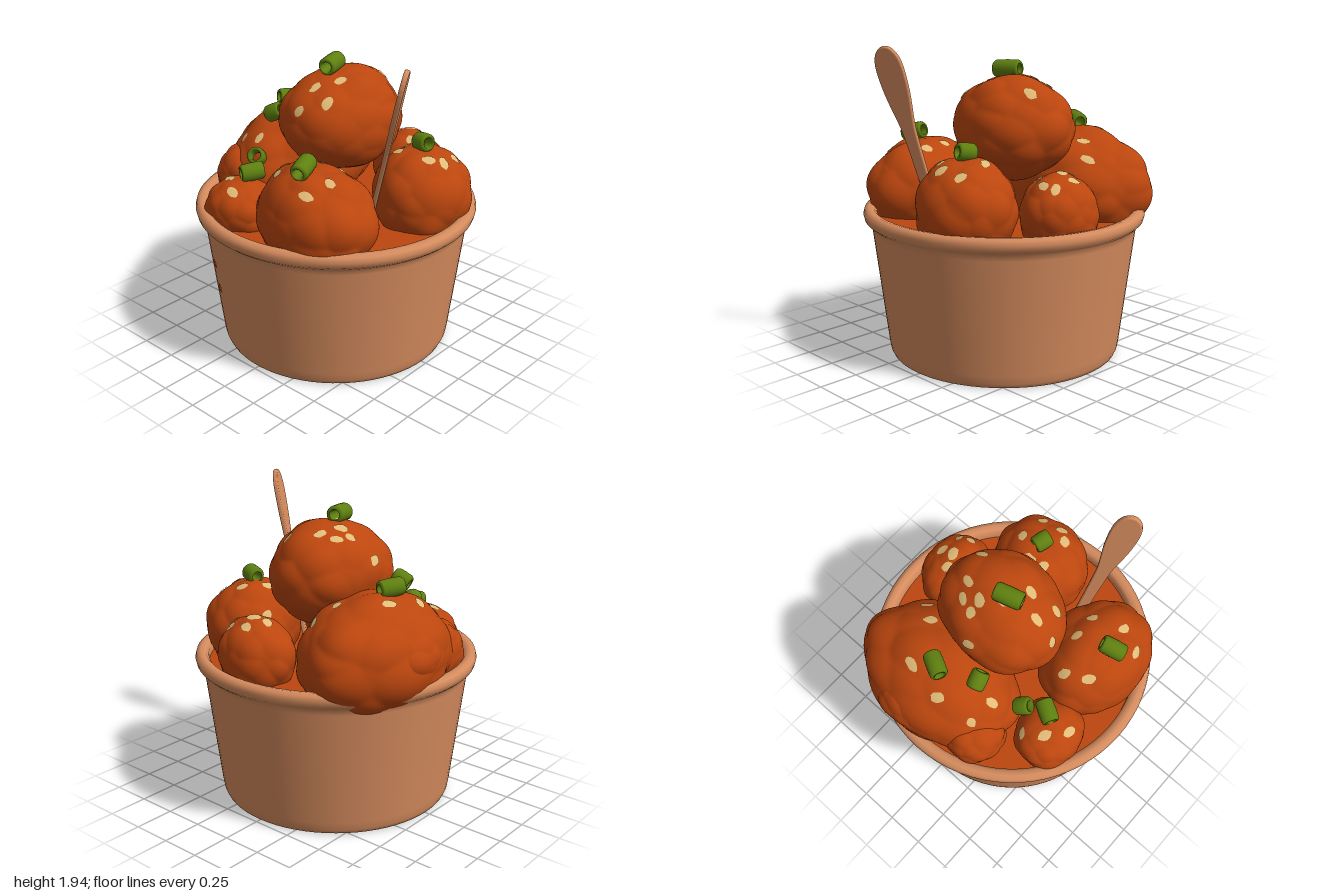
import * as THREE from 'three';
import { mergeVertices, mergeGeometries } from 'three/addons/utils/BufferGeometryUtils.js';

const paint = (name, color, side = THREE.FrontSide) => {
  const m = new THREE.MeshStandardMaterial({ color, side });
  m.name = name;
  return m;
};
const V = (x, y, z) => new THREE.Vector3(x, y, z);

function seeded(seed) {
  let s = seed * 7919 + 17;
  return () => (s = (s * 16807) % 2147483647) / 2147483647;
}

// Knobbly radius for a unit direction: bumps scattered evenly over a sphere
function knobbly(seed, count = 46) {
  const rnd = seeded(seed);
  for (let i = 0; i < 5; i++) rnd();
  const bumps = [];
  for (let i = 0; i < count; i++) {
    const y = 1 - 2 * (i + 0.5) / count, a = i * 2.39996 + seed, h = Math.sqrt(1 - y * y);
    const d = V(h * Math.cos(a) + (rnd() - 0.5) * 0.3, y + (rnd() - 0.5) * 0.3, h * Math.sin(a) + (rnd() - 0.5) * 0.3);
    bumps.push({ d: d.normalize(), h: 0.04 + rnd() * 0.09, w: 0.07 + rnd() * 0.08 });
  }
  return (dir) => {
    let best = 0;
    for (const b of bumps) best = Math.max(best, b.h * Math.exp(-(1 - dir.dot(b.d)) / b.w));
    return 0.92 + best;
  };
}

// One coated piece: a sphere pushed out by the knobbly rule
function makePiece(center, radii, seed) {
  const rule = knobbly(seed);
  const surface = (dir, lift = 0) => {
    const d = dir.clone().normalize();
    return d.clone().multiplyScalar(rule(d)).multiply(radii).add(center).addScaledVector(d, lift);
  };
  let geo = new THREE.IcosahedronGeometry(1, 22);
  geo.deleteAttribute('normal');
  geo.deleteAttribute('uv');
  geo = mergeVertices(geo, 1e-5);
  const pos = geo.attributes.position, v = V(0, 0, 0);
  for (let i = 0; i < pos.count; i++) {
    const p = surface(v.fromBufferAttribute(pos, i));
    pos.setXYZ(i, p.x, p.y, p.z);
  }
  geo.computeVertexNormals();

  // Direction of the upper surface point above a given x, z
  const above = (x, z) => {
    const at = (y) => V(x, y, z).sub(center).divide(radii);
    let lo = center.y, hi = center.y + 2 * radii.y;
    for (let i = 0; i < 24; i++) {
      const mid = (lo + hi) / 2, q = at(mid), len = q.length();
      if (len < rule(q.normalize())) lo = mid; else hi = mid;
    }
    return at(lo).normalize();
  };
  return { geo, surface, above, size: (radii.x + radii.y + radii.z) / 3 };
}

// Sesame seed: a small irregular patch draped on a piece
function seedPatch(piece, x, z, rnd) {
  const dir = piece.above(x, z);
  const t1 = V(0, 0, 1).cross(dir).normalize(), t2 = dir.clone().cross(t1);
  const turn = rnd() * 3, n = 12, r = (0.031 + rnd() * 0.007) / piece.size;
  const pts = [piece.surface(dir, 0.007)], index = [];
  for (let i = 0; i < n; i++) {
    const a = i / n * Math.PI * 2, k = r * (0.9 + rnd() * 0.2);
    const u = Math.cos(a) * k * 1.2, w = Math.sin(a) * k * 0.85;
    const p = dir.clone().addScaledVector(t1, u * Math.cos(turn) - w * Math.sin(turn))
      .addScaledVector(t2, u * Math.sin(turn) + w * Math.cos(turn));
    pts.push(piece.surface(p, 0.005));
    index.push(0, i + 1, (i + 1) % n + 1);
  }
  const geo = new THREE.BufferGeometry().setFromPoints(pts);
  geo.setIndex(index);
  geo.computeVertexNormals();
  return geo;
}

export function createModel() {
  const model = new THREE.Group();
  const card = paint('kraftBrown', 0xd68c5e);
  const sauce = paint('chilliSauce', 0xbc460e);
  const green = paint('scallionGreen', 0x5f8010);
  const sesame = paint('sesameCream', 0xe0bb78, THREE.DoubleSide);
  const add = (name, geo, mat, parent = model) => {
    const mesh = new THREE.Mesh(geo, mat);
    mesh.name = name;
    parent.add(mesh);
    return mesh;
  };
  const lathe = (pts, seg) => new THREE.LatheGeometry(pts.map(([x, y]) => new THREE.Vector2(x, y)), seg);

  // Tapered cup with a rolled rim and hollow inside
  add('cup', lathe([[0, 0.005], [0.7, 0.005], [0.705, 0], [0.72, 0.004], [0.732, 0.03], [0.74, 0.08], [0.826, 0.8],
    [0.832, 0.835], [0.85, 0.848], [0.872, 0.868], [0.88, 0.9], [0.872, 0.93], [0.845, 0.941], [0.815, 0.936],
    [0.797, 0.915], [0.795, 0.88], [0.78, 0.78]], 72), card);

  // Sauce filling
  const fill = new THREE.CircleGeometry(0.797, 64);
  fill.rotateX(-Math.PI / 2);
  add('sauceFilling', fill, sauce).position.y = 0.87;

  // Coated pieces: centre, radii and sesame positions as x, z pairs
  const pieces = [
    { name: 'topPiece', c: [-0.01, 1.43, -0.06], r: [0.35, 0.32, 0.41],
      s: [-0.09, -0.25, 0.1, -0.32, -0.21, -0.12, -0.14, -0.12, -0.06, -0.02, 0.09, 0.06, 0.13, 0.22, 0, 0.18,
        -0.01, 0.31, -0.18, -0.21, -0.33, -0.04] },
    { name: 'rightPiece', c: [-0.46, 1.03, -0.18], r: [0.4, 0.365, 0.54],
      s: [-0.24, -0.48, -0.32, -0.37, -0.6, -0.25, -0.64, -0.01, -0.6, 0.21, -0.44, 0.23] },
    { name: 'rightSideLump', c: [-0.69, 1.06, -0.2], r: [0.18, 0.18, 0.24], s: [] },
    { name: 'rightFrontLump', c: [-0.58, 0.98, 0.2], r: [0.2, 0.2, 0.2], s: [] },
    { name: 'backPiece', c: [0.12, 0.99, -0.58], r: [0.25, 0.24, 0.22],
      s: [0.04, -0.57, 0.11, -0.68, 0.12, -0.6, 0.25, -0.67, 0.28, -0.6, 0.2, -0.5] },
    { name: 'leftPiece', c: [0.51, 1.02, -0.21], r: [0.29, 0.305, 0.32],
      s: [0.28, -0.33, 0.48, -0.34, 0.39, -0.2, 0.68, -0.19, 0.62, -0.12, 0.66, -0.33, 0.4, -0.11] },
    { name: 'frontPiece', c: [0.26, 1.01, 0.46], r: [0.39, 0.32, 0.32],
      s: [0.2, 0.34, 0.35, 0.33, -0.02, 0.43, 0.05, 0.56, 0.42, 0.52, 0.37, 0.66] },
    { name: 'smallFrontPiece', c: [-0.28, 0.94, 0.55], r: [0.225, 0.195, 0.21],
      s: [-0.35, 0.57, -0.23, 0.66, -0.42, 0.45] },
  ];
  pieces.forEach((p, k) => {
    const group = new THREE.Group();
    group.name = p.name;
    model.add(group);
    const piece = makePiece(V(...p.c), V(...p.r), k + 3), rnd = seeded(k + 40);
    add(p.name + 'Coating', piece.geo, sauce, group);
    const patches = [];
    for (let i = 0; i < p.s.length; i += 2) patches.push(seedPatch(piece, p.s[i], p.s[i + 1], rnd));
    if (patches.length) add(p.name + 'SesameSeeds', mergeGeometries(patches), sesame, group);
  });

  // Scallion rings: position, axis, length
  const rings = [
    [[-0.03, 1.78, 0], [0.3, -0.05, 1], 0.17], [[-0.52, 1.43, -0.13], [-0.5, 0.1, 1], 0.15],
    [[-0.42, 1.41, 0.11], [1, 0.5, -0.25], 0.11], [[-0.32, 1.21, 0.37], [0.5, 0.6, 0.8], 0.1],
    [[-0.24, 1.17, 0.49], [-0.55, -0.1, 1], 0.14], [[0.26, 1.36, 0.56], [0.3, -0.25, 1], 0.15],
    [[0.51, 1.355, -0.21], [1, 0.15, 0.3], 0.11],
  ];
  for (const [at, axis, len] of rings) {
    const h = len / 2;
    const ring = add('scallionRing', lathe([[0.032, -h], [0.046, -h], [0.054, -h + 0.012], [0.056, 0], [0.054, h - 0.012],
      [0.046, h], [0.032, h], [0.028, 0], [0.032, -h]], 20), green);
    ring.position.set(...at);
    ring.quaternion.setFromUnitVectors(V(0, 1, 0), V(...axis).normalize());
  }

  // Flat wooden spoon handle leaning outwards
  const outline = new THREE.Shape();
  outline.moveTo(-0.022, 0);
  outline.lineTo(0.022, 0);
  outline.bezierCurveTo(0.026, 0.4, 0.03, 0.5, 0.034, 0.6);
  outline.bezierCurveTo(0.045, 0.73, 0.075, 0.8, 0.076, 0.98);
  outline.bezierCurveTo(0.077, 1.17, -0.077, 1.17, -0.076, 0.98);
  outline.bezierCurveTo(-0.075, 0.8, -0.045, 0.73, -0.034, 0.6);
  outline.bezierCurveTo(-0.03, 0.5, -0.026, 0.4, -0.022, 0);
  const handle = new THREE.ExtrudeGeometry(outline, { depth: 0.012, bevelThickness: 0.009, bevelSize: 0.009,
    bevelSegments: 3, curveSegments: 14 });
  handle.translate(0, 0, -0.006);
  const up = V(0.3, 1, 0.075).normalize(), across = V(0.5, 0, 0.87);
  across.addScaledVector(up, -across.dot(up)).normalize();
  handle.applyMatrix4(new THREE.Matrix4().makeBasis(across, up, across.clone().cross(up)).setPosition(0.405, 0.86, 0.17));
  add('spoonHandle', handle, card);

  // Small splashes on the cup wall: x, y, width, height
  const splash = (name, x, y, w, h, mat, lift) => {
    const r = 0.732 + (y - 0.02) * 0.119 + lift, a = Math.asin(x / r);
    const spot = add(name, new THREE.CircleGeometry(1, 9), mat);
    spot.scale.set(w, h, 1);
    spot.position.set(x, y, r * Math.cos(a));
    spot.rotation.set(0.12, a, 0, 'YXZ');
  };
  splash('sauceSplash', -0.35, 0.6, 0.036, 0.03, sauce, 0.004);
  splash('sauceSplash', -0.325, 0.43, 0.032, 0.032, sauce, 0.004);
  splash('scallionSplash', -0.345, 0.42, 0.026, 0.02, green, 0.008);

  return model;
}
